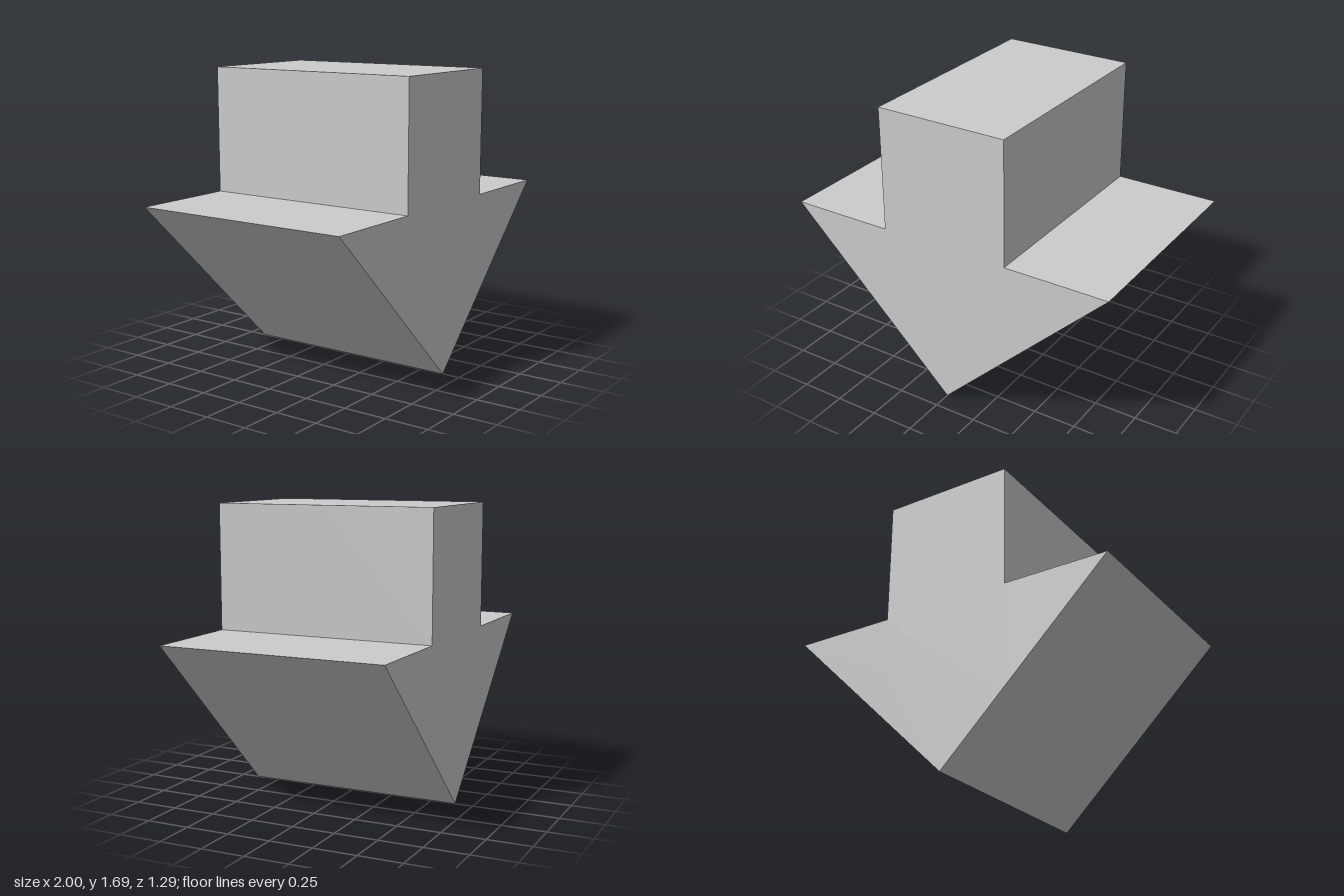
import * as THREE from 'three';

const V = (x, y, z) => new THREE.Vector3(x, y, z);
const W = 0.388, TOP = 1.69, SHOULDER = 0.97, D = 0.645;
const LOW = SHOULDER * W;

// The arrow as three convex outlines (counter-clockwise); outer[i] marks edges on its skin
const pieces = [
  { // shaft and middle of the head
    pts: [[0, 0], [W, LOW], [W, SHOULDER], [W, TOP], [-W, TOP], [-W, SHOULDER], [-W, LOW]],
    outer: [1, 0, 1, 1, 1, 0, 1],
  },
  { pts: [[W, LOW], [1, SHOULDER], [W, SHOULDER]], outer: [1, 1, 0] }, // left barb
  { pts: [[-W, LOW], [-W, SHOULDER], [-1, SHOULDER]], outer: [0, 1, 1] }, // right barb
];

// One seed point per broken shard
const shards = [
  ['shaftFrontShard', V(0.113, 1.334, 0.482)],
  ['shaftFrontRightShard', V(-0.377, 1.706, 0.379)],
  ['shaftBackShard', V(0.35, 1.667, -0.666)],
  ['headFrontRightShard', V(-0.377, 0.851, 0.572)],
  ['headBackRightShard', V(-0.602, 0.979, -0.5)],
  ['rightBarbTipShard', V(-0.964, 1.069, 0.572)],
  ['headFrontLowerShard', V(0.113, 0.585, 0.779)],
  ['leftBarbBackShard', V(1.053, 1.042, -0.515)],
  ['headBackLowerShard', V(0.084, 0.04, -0.963)],
  ['headCoreShard', V(0.014, 0.606, 0.327)],
];

// Keep the part of a convex polygon behind a plane
function clip(poly, n, d) {
  const out = [];
  poly.forEach((a, i) => {
    const b = poly[(i + 1) % poly.length];
    const da = n.dot(a) - d, db = n.dot(b) - d;
    if (da <= 1e-9) out.push(a);
    if ((da < -1e-9 && db > 1e-9) || (da > 1e-9 && db < -1e-9)) {
      out.push(a.clone().lerp(b, da / (da - db)));
    }
  });
  return out;
}

// Plane halfway between two seeds, facing away from the first
function halfway(a, b) {
  const n = b.clone().sub(a).normalize();
  return { n, d: n.dot(a.clone().add(b).multiplyScalar(0.5)) };
}

// Skin polygons and bounding planes of one piece
function prism({ pts, outer }) {
  const faces = [], planes = [];
  const front = pts.map(([x, y]) => V(x, y, D));
  const back = pts.map(([x, y]) => V(x, y, -D));
  faces.push({ poly: front, n: V(0, 0, 1) });
  faces.push({ poly: [back[0], ...back.slice(1).reverse()], n: V(0, 0, -1) });
  planes.push({ n: V(0, 0, 1), d: D }, { n: V(0, 0, -1), d: D });
  pts.forEach(([x, y], i) => {
    const j = (i + 1) % pts.length;
    const n = V(pts[j][1] - y, x - pts[j][0], 0).normalize();
    planes.push({ n, d: n.dot(front[i]) });
    if (outer[i]) faces.push({ poly: [front[i], back[i], back[j], front[j]], n });
  });
  return { faces, planes };
}

// Large square lying in a plane, counter-clockwise about its normal
function sheet({ n, d }) {
  const u = V(0.31, 0.87, 0.38).cross(n).normalize();
  const v = n.clone().cross(u);
  return [[-4, -4], [4, -4], [4, 4], [-4, 4]].map(([a, b]) =>
    n.clone().multiplyScalar(d).addScaledVector(u, a).addScaledVector(v, b));
}

function shardGeometry(index, solids) {
  const walls = shards.filter((_, j) => j !== index).map(([, s]) => halfway(shards[index][1], s));
  const pos = [], nor = [];
  const add = (poly, n) => {
    for (let i = 1; i + 1 < poly.length; i++) {
      const t = [poly[0], poly[i], poly[i + 1]];
      const area = t[1].clone().sub(t[0]).cross(t[2].clone().sub(t[0])).length();
      if (area < 1e-10) continue;
      t.forEach((p) => { pos.push(p.x, p.y, p.z); nor.push(n.x, n.y, n.z); });
    }
  };
  const trim = (poly, planes) => planes.reduce((p, w) => clip(p, w.n, w.d), poly);
  for (const { faces, planes } of solids) {
    // skin of the arrow inside this shard
    for (const { poly, n } of faces) add(trim(poly, walls), n);
    // broken faces towards the neighbouring shards
    for (const wall of walls) {
      add(trim(sheet(wall), [...walls.filter((w) => w !== wall), ...planes]), wall.n);
    }
  }
  const g = new THREE.BufferGeometry();
  g.setAttribute('position', new THREE.Float32BufferAttribute(pos, 3));
  g.setAttribute('normal', new THREE.Float32BufferAttribute(nor, 3));
  return g;
}

export function createModel() {
  const group = new THREE.Group();
  group.name = 'fracturedArrow';
  const material = new THREE.MeshStandardMaterial({ color: 0xcccccc, flatShading: true });
  const solids = pieces.map(prism);
  shards.forEach(([name], i) => {
    const mesh = new THREE.Mesh(shardGeometry(i, solids), material);
    mesh.name = name;
    group.add(mesh);
  });
  return group;
}
